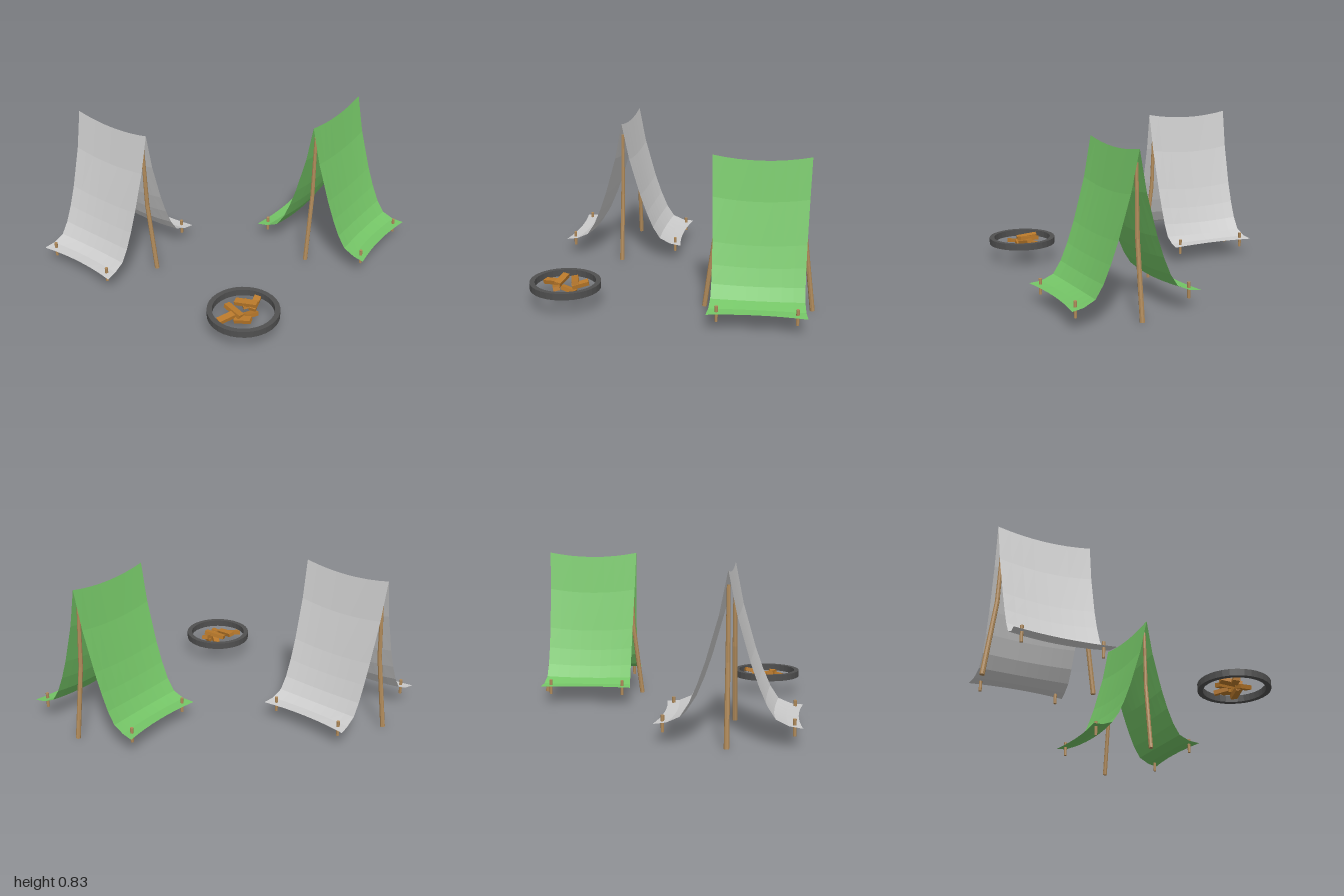
import * as THREE from 'three';

const paint = (color) => new THREE.MeshStandardMaterial({ color, flatShading: true, side: THREE.DoubleSide });
const wood = paint(0xb08a5a);

function add(parent, name, geometry, material) {
  const mesh = new THREE.Mesh(geometry, material);
  mesh.name = name;
  parent.add(mesh);
  return mesh;
}

// Round stick between two points
function stick(parent, name, a, b, r0, r1) {
  const dir = b.clone().sub(a);
  const mesh = add(parent, name, new THREE.CylinderGeometry(r1, r0, dir.length(), 8), wood);
  mesh.position.copy(a).add(b).multiplyScalar(0.5);
  mesh.quaternion.setFromUnitVectors(new THREE.Vector3(0, 1, 0), dir.normalize());
}

// Slope profile: [outward fraction, height], ridge to eave
const slope = [[0, 0.83], [0.12, 0.62], [0.3, 0.4], [0.41, 0.29], [0.52, 0.2], [0.64, 0.135], [0.82, 0.107], [1, 0.1]];

// Sagging cloth: a grid whose rows follow the slope on both sides of the ridge
function clothGeometry() {
  const n = slope.length - 1;
  const geo = new THREE.PlaneGeometry(2, 2, 8, 2 * n);
  const p = geo.attributes.position;
  for (let i = 0; i < p.count; i++) {
    const u = p.getX(i);
    const row = Math.round(-p.getY(i) * n);
    const [t, y] = slope[Math.abs(row)];
    const mid = 1 - u * u;
    const halfLength = 0.253 - 0.06 * t * (1 - t);
    p.setXYZ(i, u * halfLength, y - 0.025 * mid * (1 - t),
      Math.sign(row) * t * (0.352 - 0.022 * mid));
  }
  geo.computeVertexNormals();
  return geo;
}

// Open tent with its ridge along local x
function tent(name, color, x, z, turn) {
  const g = new THREE.Group();
  g.name = name;
  add(g, 'cloth', clothGeometry(), paint(color));
  for (const s of [-1, 1]) {
    // Slightly bent pole under each ridge end
    const pole = new THREE.Group();
    pole.name = 'pole';
    const foot = new THREE.Vector3(s * 0.285, 0, 0);
    const bend = new THREE.Vector3(s * 0.234, 0.4, 0);
    const tip = new THREE.Vector3(s * 0.222, 0.76, 0);
    stick(pole, 'lowerPole', foot, bend, 0.013, 0.012);
    stick(pole, 'upperPole', bend, tip, 0.012, 0.009);
    g.add(pole);
    // Corner pegs
    for (const e of [-1, 1]) {
      stick(g, 'peg', new THREE.Vector3(s * 0.202, 0.05, e * 0.312),
        new THREE.Vector3(s * 0.202, 0.133, e * 0.312), 0.008, 0.009);
    }
  }
  g.position.set(x, 0, z);
  g.rotation.y = turn;
  return g;
}

// Fire ring with a loose pile of split logs
function firePit() {
  const g = new THREE.Group();
  g.name = 'firePit';
  const ring = [[0.163, 0.1], [0.19, 0.1], [0.19, 0.136], [0.163, 0.136], [0.163, 0.1]];
  add(g, 'fireRing', new THREE.LatheGeometry(ring.map(([r, y]) => new THREE.Vector2(r, y)), 32), paint(0x505050));
  const logMaterial = paint(0xb8782a);
  // x, y, z, length, turn, tilt
  const logs = [
    [-0.1, 0.11, 0, 0.09, 0.08, 0.15],
    [-0.045, 0.125, -0.02, 0.115, -1.25, -0.12],
    [-0.025, 0.105, 0.045, 0.09, -0.75, 0.2],
    [0.035, 0.135, -0.04, 0.125, -0.8, 0.12],
    [0.04, 0.11, -0.065, 0.075, 1.4, -0.2],
    [0.08, 0.125, -0.03, 0.09, 0.8, 0.25],
    [0.035, 0.098, 0.012, 0.08, 0.35, -0.25],
  ];
  for (const [x, y, z, len, turn, tilt] of logs) {
    const log = add(g, 'log', new THREE.BoxGeometry(len, 0.022, 0.036), logMaterial);
    log.position.set(x, y, z);
    log.rotation.set(0.15 * Math.sign(tilt), turn, tilt, 'YXZ');
  }
  g.position.set(-0.24, 0, 0.58);
  return g;
}

export function createModel() {
  const model = new THREE.Group();
  model.name = 'campsite';
  model.add(
    tent('greyTent', 0xcccccc, -0.575, -0.39, -1.104),
    tent('greenTent', 0x74c466, 0.607, 0.002, 0.53),
    firePit(),
  );
  return model;
}
